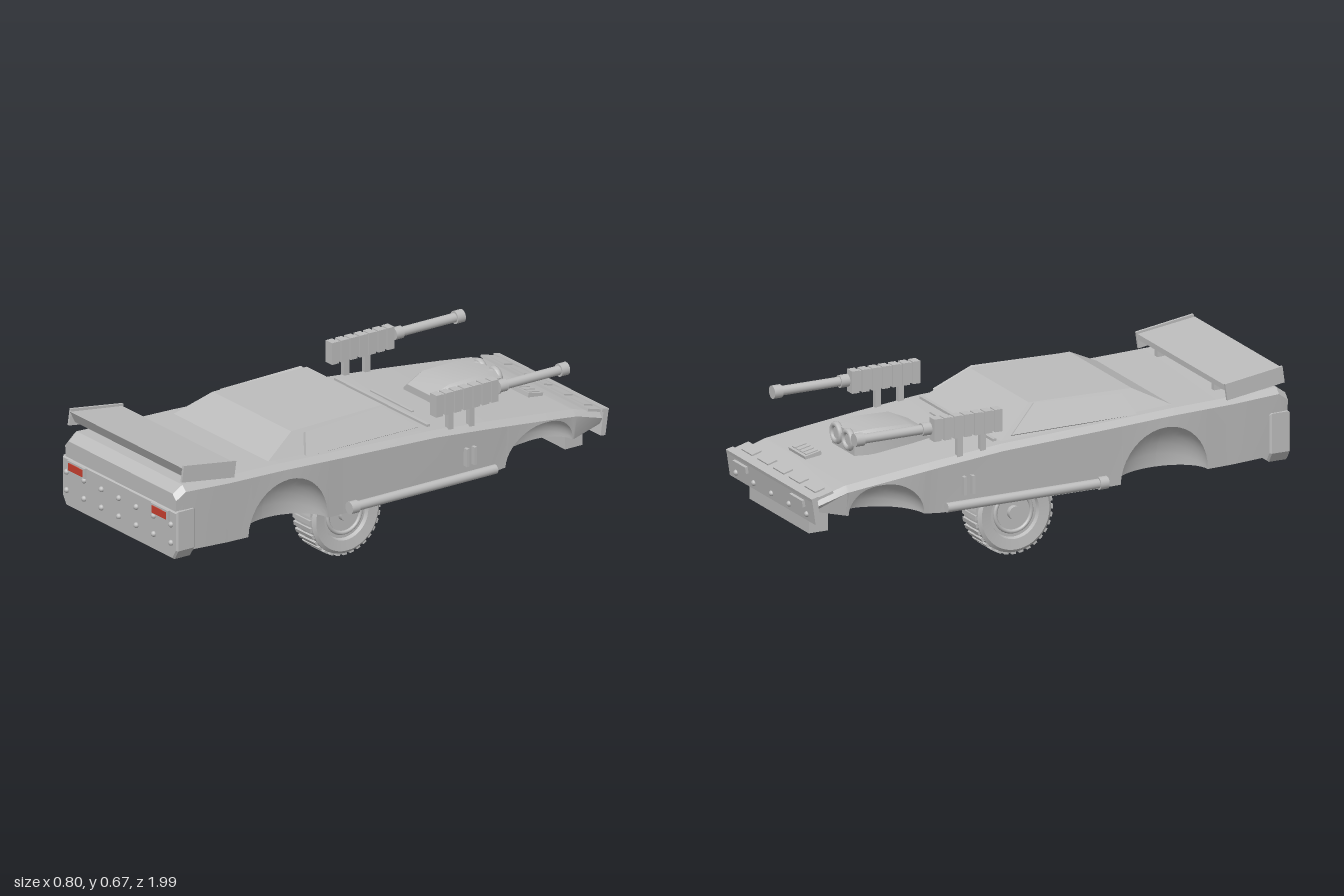
import * as THREE from 'three';
import { toCreasedNormals } from 'three/addons/utils/BufferGeometryUtils.js';

const grey = new THREE.MeshStandardMaterial({ color: 0xbcbcbc, side: THREE.DoubleSide });
grey.name = 'bare grey';
const red = new THREE.MeshStandardMaterial({ color: 0xc8402f });
red.name = 'tail light red';

// Skin a list of cross-sections, each a closed ring of [x, y, z] points
function loft(rings, crease = 0.5) {
  const n = rings[0].length, idx = [];
  for (let i = 0; i < rings.length - 1; i++) {
    for (let j = 0; j < n; j++) {
      const a = i * n + j, b = i * n + (j + 1) % n;
      idx.push(a, b, a + n, b, b + n, a + n);
    }
  }
  const g = new THREE.BufferGeometry();
  g.setAttribute('position', new THREE.Float32BufferAttribute(rings.flat(2), 3));
  g.setIndex(idx);
  return toCreasedNormals(g, crease);
}
const collapse = (ring) => {
  const c = [0, 1, 2].map((k) => ring.reduce((s, p) => s + p[k], 0) / ring.length);
  return ring.map(() => c);
};

// Body stations: z, deck height, floor height, half width
const stations = [
  [-0.97, 0.425, 0.385, 0.335], [-0.84, 0.465, 0.352, 0.342], [-0.7, 0.482, 0.33, 0.346],
  [-0.45, 0.51, 0.308, 0.35], [-0.2, 0.534, 0.305, 0.352], [0.2, 0.552, 0.305, 0.354],
  [0.5, 0.567, 0.31, 0.355], [0.75, 0.574, 0.316, 0.355], [0.94, 0.584, 0.325, 0.352], [0.98, 0.555, 0.335, 0.346],
];
function at(z, k) {
  let i = 0;
  while (i < stations.length - 2 && z > stations[i + 1][0]) i++;
  const a = stations[i], b = stations[i + 1];
  return a[k] + (b[k] - a[k]) * (z - a[0]) / (b[0] - a[0]);
}
const arches = [{ z: 0.47, r: 0.18, h: 0.195 }, { z: -0.675, r: 0.155, h: 0.125 }];

// One body section; wheel arches are dished out as quarter ellipsoids
function section(z) {
  const top = at(z, 1), low = at(z, 2), w = at(z, 3);
  let s = 0, h = 0;
  for (const a of arches) {
    const u = (z - a.z) / a.r;
    if (Math.abs(u) < 1) { s = Math.sqrt(1 - u * u); h = a.h; }
  }
  const half = [];
  for (let i = 0; i <= 6; i++) {
    const t = (i / 6) * Math.PI / 2;
    half.push([w - 0.012 * (1 - s) - 0.14 * s * Math.cos(t), low + h * s * Math.sin(t), z]);
  }
  half.push([w, top - 0.022, z], [w - 0.022, top, z]);
  return [...half, ...half.map(([x, y, q]) => [-x, y, q]).reverse()];
}

export function createModel() {
  const model = new THREE.Group();
  model.name = 'armedCar';
  const add = (name, geo, x = 0, y = 0, z = 0, rx = 0, mat = grey, parent = model) => {
    const m = new THREE.Mesh(geo, mat);
    m.name = name;
    m.position.set(x, y, z);
    m.rotation.x = rx;
    parent.add(m);
    return m;
  };
  const box = (w, h, d) => new THREE.BoxGeometry(w, h, d);
  const cyl = (r, len, n = 20, r2 = r) => new THREE.CylinderGeometry(r, r2, len, n);
  const ALONG = Math.PI / 2; // lays a cylinder along z

  // Body shell
  const zs = stations.map((s) => s[0]);
  for (const a of arches) for (let i = 0; i <= 20; i++) zs.push(a.z - a.r * Math.cos(i / 20 * Math.PI));
  zs.sort((a, b) => a - b);
  const rings = zs.map(section);
  add('body', loft([collapse(rings[0]), ...rings, collapse(rings[rings.length - 1])]));

  // Cabin
  const ring = (x1, y1, z1, x2, y2, z2) => [[-x1, y1, z1], [x1, y1, z1], [x2, y2, z2], [-x2, y2, z2]];
  const roof = ring(0.245, 0.638, 0.385, 0.235, 0.642, -0.035);
  add('cabin', loft([ring(0.3, 0.56, 0.54, 0.312, 0.525, -0.2), roof, collapse(roof)], 0.2));
  add('windscreenSill', box(0.58, 0.01, 0.015), 0, 0.538, -0.205);
  add('wiperSlot', box(0.26, 0.008, 0.01), 0, 0.531, -0.25);

  // Tail panel with rivets and lights
  const tail = new THREE.Shape();
  [[-0.33, 0.306], [0.33, 0.306], [0.352, 0.34], [0.352, 0.486], [-0.352, 0.486], [-0.352, 0.34]]
    .forEach(([x, y], i) => (i ? tail.lineTo(x, y) : tail.moveTo(x, y)));
  add('tailPanel', new THREE.ExtrudeGeometry(tail, {
    depth: 0.07, bevelThickness: 0.008, bevelSize: 0.006, bevelSegments: 1,
  }), 0, 0, 0.908);
  const stud = new THREE.SphereGeometry(0.011, 12, 8);
  for (let i = -3; i <= 3; i++) {
    for (const y of [0.365, 0.437]) add('tailRivet', stud, i * 0.1085, y, 0.988);
  }

  // Spoiler, sloping up toward the tail
  const blade = new THREE.Shape();
  blade.moveTo(0.957, 0.659);
  blade.lineTo(0.72, 0.627);
  blade.lineTo(0.72, 0.606);
  blade.lineTo(0.935, 0.614);
  const spoiler = add('spoiler', new THREE.ExtrudeGeometry(blade, { depth: 0.7, bevelEnabled: false }), 0.35);
  spoiler.rotation.y = -Math.PI / 2;

  // Parts mirrored left and right
  for (const s of [-1, 1]) {
    add('tailLightFrame', box(0.109, 0.04, 0.012), s * 0.26, 0.467, 0.989);
    add('tailLight', box(0.087, 0.028, 0.008), s * 0.26, 0.466, 0.994, 0, red);
    add('spoilerEndPlate', box(0.01, 0.064, 0.24), s * 0.352, 0.62, 0.838, -0.145);
    add('spoilerPost', box(0.02, 0.07, 0.035), s * 0.225, 0.588, 0.75);

    // Side window panel standing proud of the cabin
    const pane = [[0.306, 0.552, 0.37], [0.252, 0.624, 0.335], [0.238, 0.637, -0.02], [0.302, 0.548, -0.145]]
      .map(([x, y, z]) => [s * x, y, z]);
    const outer = pane.map(([x, y, z]) => [x + s * 0.013, y + 0.007, z]);
    add('sideWindow', loft([pane, outer, collapse(outer)], 0.3));

    // Exhaust pipe along the sill
    add('sidePipe', cyl(0.018, 0.66), s * 0.374, 0.337, -0.118, ALONG);
    add('sidePipeTip', cyl(0.024, 0.035), s * 0.374, 0.337, 0.198, ALONG);
    for (const z of [-0.33, -0.365]) add('sideVent', box(0.02, 0.07, 0.012), s * 0.356, 0.405, z);

    // Roof-high gun on two posts
    const gun = new THREE.Group();
    gun.name = 'gun';
    gun.position.x = s * 0.325;
    model.add(gun);
    for (const z of [-0.275, -0.37]) add('gunPost', box(0.02, 0.1, 0.024), 0, 0.56, z, 0, grey, gun);
    add('gunCore', box(0.028, 0.078, 0.28), 0, 0.63, -0.342, 0, grey, gun);
    for (let i = 0; i < 7; i++) add('gunFin', box(0.04, 0.086, 0.03), 0, 0.63, -0.216 - i * 0.042, 0, grey, gun);
    add('gunCollar', cyl(0.024, 0.035), 0, 0.636, -0.51, ALONG, grey, gun);
    add('gunBarrel', cyl(0.018, 0.27), 0, 0.636, -0.64, ALONG, grey, gun);
    add('gunMuzzle', cyl(0.025, 0.035), 0, 0.636, -0.787, ALONG, grey, gun);

    // Nose lamps and bonnet intakes
    add('noseLamp', box(0.1, 0.026, 0.02), s * 0.225, 0.405, -0.983, -0.15);
    const intake = add('bonnetIntake', new THREE.TorusGeometry(0.032, 0.011, 8, 20), s * 0.047, 0.542, -0.682);
    intake.scale.z = 1.2;
    add('intakeThroat', cyl(0.034, 0.05), s * 0.047, 0.542, -0.66, ALONG);
  }

  // Bonnet scoop
  const hoop = (w, low, high, z) => [[-w, low, z], [-w, high - 0.02, z], [-w + 0.025, high, z],
    [w - 0.025, high, z], [w, high - 0.02, z], [w, low, z]];
  const scoop = [hoop(0.09, 0.49, 0.572, -0.68), hoop(0.108, 0.49, 0.582, -0.6),
    hoop(0.108, 0.5, 0.578, -0.45), hoop(0.1, 0.505, 0.545, -0.375)];
  add('bonnetScoop', loft([collapse(scoop[0]), ...scoop, collapse(scoop[3])]));

  // Slatted vent, offset to one side of the bonnet
  add('bonnetVent', box(0.13, 0.016, 0.068), 0.085, 0.477, -0.793, -0.2);
  for (let i = 0; i < 4; i++) add('ventSlat', box(0.022, 0.01, 0.05), 0.04 + i * 0.03, 0.484, -0.793, -0.2);

  // Nose plate, lamp strip and underslung box
  add('nosePlate', box(0.68, 0.1, 0.022), 0, 0.389, -0.968, -0.15);
  add('noseLip', box(0.68, 0.014, 0.03), 0, 0.436, -0.972, -0.23);
  add('noseStrip', box(0.67, 0.01, 0.06), 0, 0.445, -0.925, -0.27);
  for (let i = -2; i <= 2; i++) {
    add('stripPanel', box(0.085, 0.012, 0.04), i * 0.125, 0.449, -0.928, -0.27);
    add('noseRivet', stud, i * 0.14, 0.365, -0.976);
  }
  add('noseBox', box(0.47, 0.085, 0.08), 0, 0.315, -0.905);

  // Single central wheel
  const wheel = new THREE.Group();
  wheel.name = 'wheel';
  wheel.position.y = 0.161;
  model.add(wheel);
  const profile = [[0.02, -0.045], [0.095, -0.045], [0.1, -0.06], [0.14, -0.065], [0.152, -0.055],
    [0.155, 0], [0.152, 0.055], [0.14, 0.065], [0.1, 0.06], [0.095, 0.045], [0.02, 0.045]];
  const tyre = add('tyre', toCreasedNormals(new THREE.LatheGeometry(
    profile.map(([r, y]) => new THREE.Vector2(r, y)), 48), 0.5), 0, 0, 0, 0, grey, wheel);
  tyre.rotation.z = ALONG;
  const hub = add('hub', cyl(0.026, 0.13), 0, 0, 0, 0, grey, wheel);
  hub.rotation.z = ALONG;
  for (const s of [-1, 1]) {
    const rim = add('rimRing', new THREE.TorusGeometry(0.075, 0.008, 8, 32), s * 0.046, 0, 0, 0, grey, wheel);
    rim.rotation.y = ALONG;
  }
  for (let i = 0; i < 32; i++) {
    const a = i / 32 * Math.PI * 2;
    add('tread', box(0.106, 0.012, 0.017), 0, 0.155 * Math.cos(a), 0.155 * Math.sin(a), a, grey, wheel);
  }
  return model;
}
